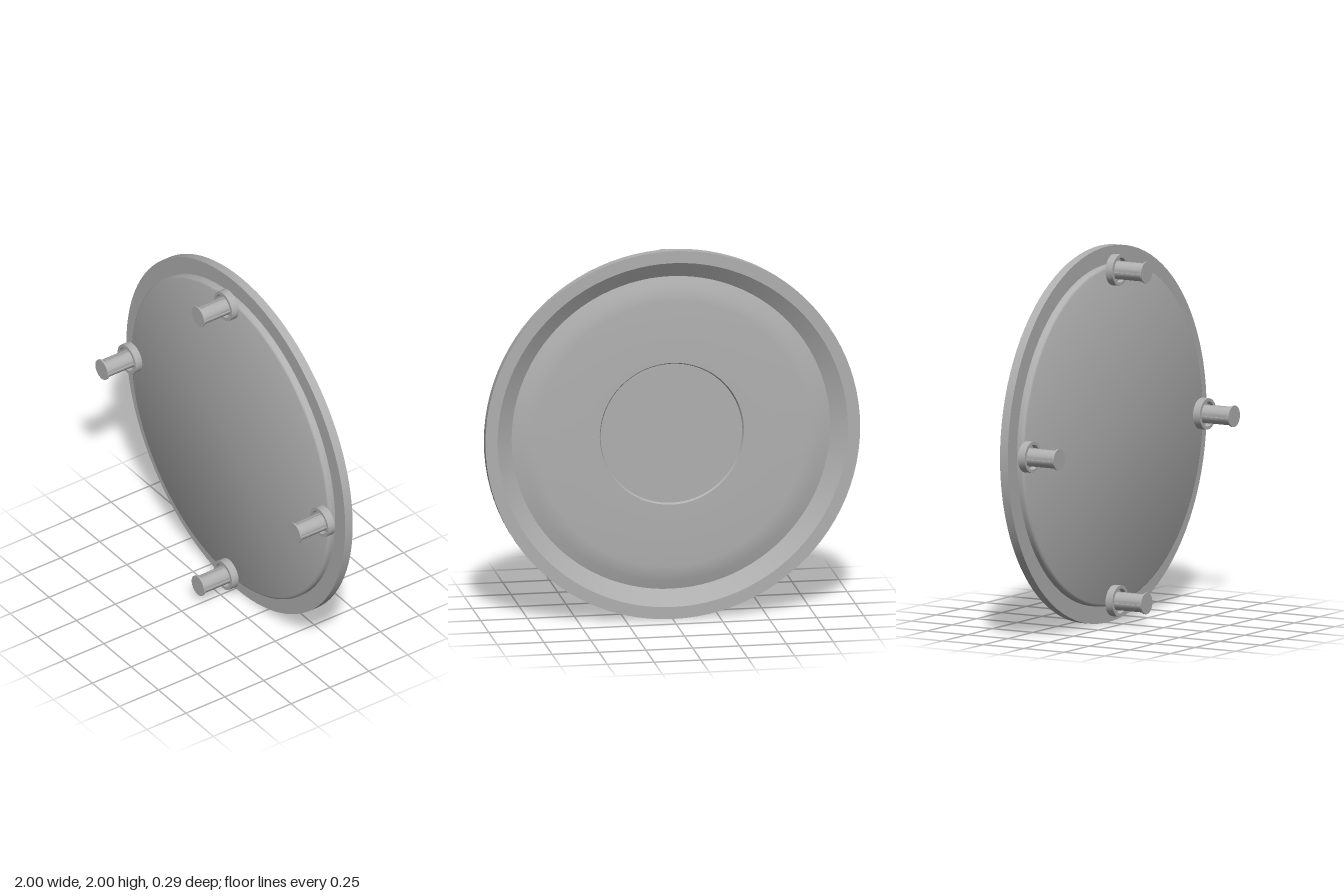
import * as THREE from 'three';
import { toCreasedNormals } from 'three/addons/utils/BufferGeometryUtils.js';

const grey = new THREE.MeshStandardMaterial({ color: 0xb0b0b0 });
grey.name = 'plain grey';

// Turns a [radius, z] profile, running from the back outward to the front, about the z axis
function turned(name, profile, segments) {
  const points = profile.map(([r, z]) => new THREE.Vector2(r, z));
  const geometry = new THREE.LatheGeometry(points, segments).rotateX(Math.PI / 2);
  const mesh = new THREE.Mesh(toCreasedNormals(geometry, 0.5), grey);
  mesh.name = name;
  return mesh;
}

// Round section with four narrow lengthwise grooves
function groovedSection(radius, halfGroove, depth) {
  const points = [];
  const gap = Math.asin(halfGroove / radius);
  for (let q = 0; q < 4; q++) {
    const axis = q * Math.PI / 2;
    const inner = new THREE.Vector2(radius - depth, 0);
    for (const side of [-1, 1]) {
      points.push(new THREE.Vector2(inner.x, side * halfGroove).rotateAround(new THREE.Vector2(), axis));
      if (side < 0) {
        const last = points.pop();
        points.push(new THREE.Vector2(radius * Math.cos(axis - gap), radius * Math.sin(axis - gap)), last);
      }
    }
    for (let i = 0; i < 6; i++) {
      const a = axis + gap + (Math.PI / 2 - 2 * gap) * i / 6;
      points.push(new THREE.Vector2(radius * Math.cos(a), radius * Math.sin(a)));
    }
  }
  return new THREE.Shape(points);
}

// Mounting pin: collar ring, grooved shaft and end cap
function makePin() {
  const pin = new THREE.Group();
  pin.name = 'mountingPin';
  pin.add(turned('collar', [
    [0, -0.059], [0.083, -0.059], [0.083, -0.016], [0.066, -0.016], [0.066, -0.045], [0, -0.045],
  ], 32));
  const shaftGeometry = new THREE.ExtrudeGeometry(groovedSection(0.049, 0.008, 0.008), {
    depth: 0.19, bevelEnabled: false, steps: 1,
  }).translate(0, 0, -0.05);
  const shaft = new THREE.Mesh(toCreasedNormals(shaftGeometry, 0.5), grey);
  shaft.name = 'shaft';
  pin.add(shaft);
  pin.add(turned('endCap', [[0, 0.137], [0.057, 0.137], [0.057, 0.146], [0, 0.146]], 32));
  return pin;
}

export function createModel() {
  const model = new THREE.Group();
  model.name = 'roundCover';

  // Cover: recessed, gently domed back, flat rim and raised front with a rounded edge
  const cover = turned('cover', [
    [0, -0.105], [0.378, -0.105], [0.385, -0.118], [0.72, -0.118],
    [0.76, -0.114], [0.80, -0.104], [0.85, -0.088],
    [0.935, -0.146], [1, -0.146], [1, -0.098], [0.907, -0.098],
    [0.907, -0.074], [0.905, -0.068], [0.9, -0.062], [0.892, -0.058], [0, -0.058],
  ], 96);
  cover.position.y = 1;
  model.add(cover);

  // Four pins around the edge
  for (let i = 0; i < 4; i++) {
    const angle = i * Math.PI / 2;
    const pin = makePin();
    pin.position.set(0.88 * Math.cos(angle), 1 + 0.88 * Math.sin(angle), 0);
    model.add(pin);
  }
  return model;
}
